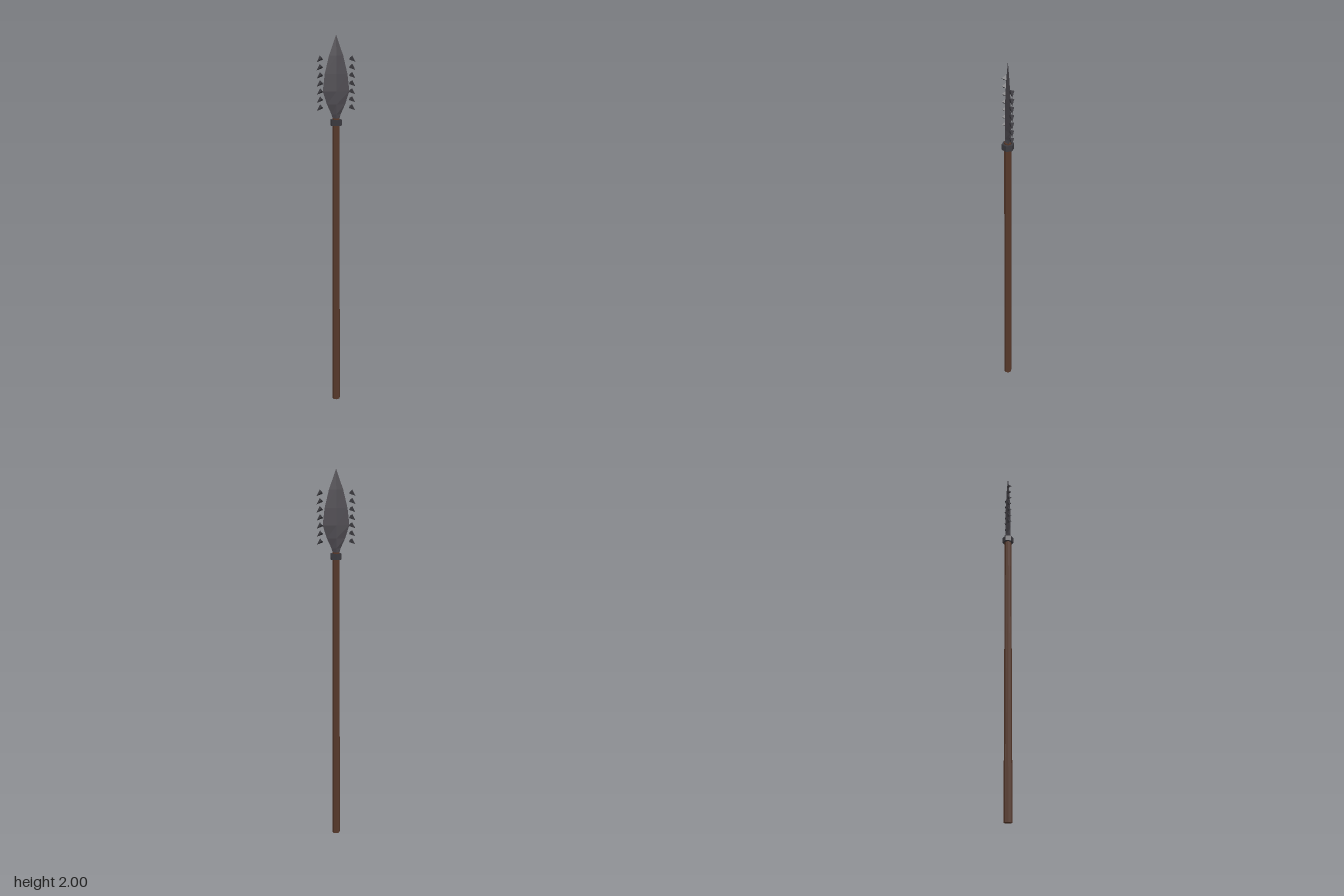
import * as THREE from 'three';

const wood = new THREE.MeshStandardMaterial({ color: 0x56382a, name: 'brown wood' });
const steel = new THREE.MeshStandardMaterial({ color: 0x4a474d, name: 'blade steel' });
const iron = new THREE.MeshStandardMaterial({ color: 0x3b3a3f, name: 'dark iron' });
steel.flatShading = true;
iron.flatShading = true;
wood.flatShading = true;

function add(parent, name, geometry, material, y = 0) {
  const mesh = new THREE.Mesh(geometry, material);
  mesh.name = name;
  mesh.position.y = y;
  parent.add(mesh);
  return mesh;
}

// Diamond cross-sections [height, half width, half thickness] joined up to the tip
function bladeGeometry() {
  const sections = [
    [1.575, 0.013, 0.014], [1.61, 0.024, 0.015], [1.66, 0.047, 0.015], [1.725, 0.068, 0.0145],
    [1.81, 0.058, 0.012], [1.9, 0.036, 0.008], [2, 0, 0],
  ];
  const ring = ([y, w, t]) => [[w, y, 0], [0, y, t], [-w, y, 0], [0, y, -t]];
  const points = [];
  const base = ring(sections[0]);
  points.push(base[0], base[2], base[1], base[0], base[3], base[2]);
  for (let i = 0; i < sections.length - 1; i++) {
    const a = ring(sections[i]), b = ring(sections[i + 1]);
    for (let j = 0; j < 4; j++) {
      const k = (j + 1) % 4;
      points.push(a[j], b[j], a[k]);
      if (i < sections.length - 2) points.push(a[k], b[j], b[k]);
    }
  }
  // Corners run +x, +z, -x, so each triangle is reversed to face outward
  for (let i = 6; i < points.length; i += 3) {
    const [p, q, r] = points.slice(i, i + 3).map(v => new THREE.Vector3(...v));
    const normal = q.clone().sub(p).cross(r.clone().sub(p));
    const mid = p.clone().add(q).add(r).setY(0);
    if (normal.dot(mid) < 0) [points[i + 1], points[i + 2]] = [points[i + 2], points[i + 1]];
  }
  const geometry = new THREE.BufferGeometry();
  geometry.setAttribute('position', new THREE.Float32BufferAttribute(points.flat(), 3));
  geometry.computeVertexNormals();
  return geometry;
}

export function createModel() {
  const spear = new THREE.Group();
  spear.name = 'spear';

  // Tapered shaft and hexagonal collar
  add(spear, 'shaft', new THREE.CylinderGeometry(0.0185, 0.0215, 1.59, 8), wood, 0.795);
  add(spear, 'collar', new THREE.CylinderGeometry(0.031, 0.031, 0.03, 6), iron, 1.568);

  add(spear, 'blade', bladeGeometry(), steel);

  // Three-sided barbs beside the blade, points swept out and down
  const barb = new THREE.ConeGeometry(0.0145, 0.033, 3);
  barb.translate(0, 0.0165, 0);
  barb.rotateZ(THREE.MathUtils.degToRad(130));
  for (const side of ['right', 'left']) {
    const row = new THREE.Group();
    row.name = side + 'Barbs';
    row.rotation.y = side === 'left' ? Math.PI : 0;
    for (let i = 0; i < 7; i++) {
      add(row, side + 'Barb' + (i + 1), barb, iron, 1.65 + i * 0.04).position.x = -0.073;
    }
    spear.add(row);
  }
  return spear;
}
